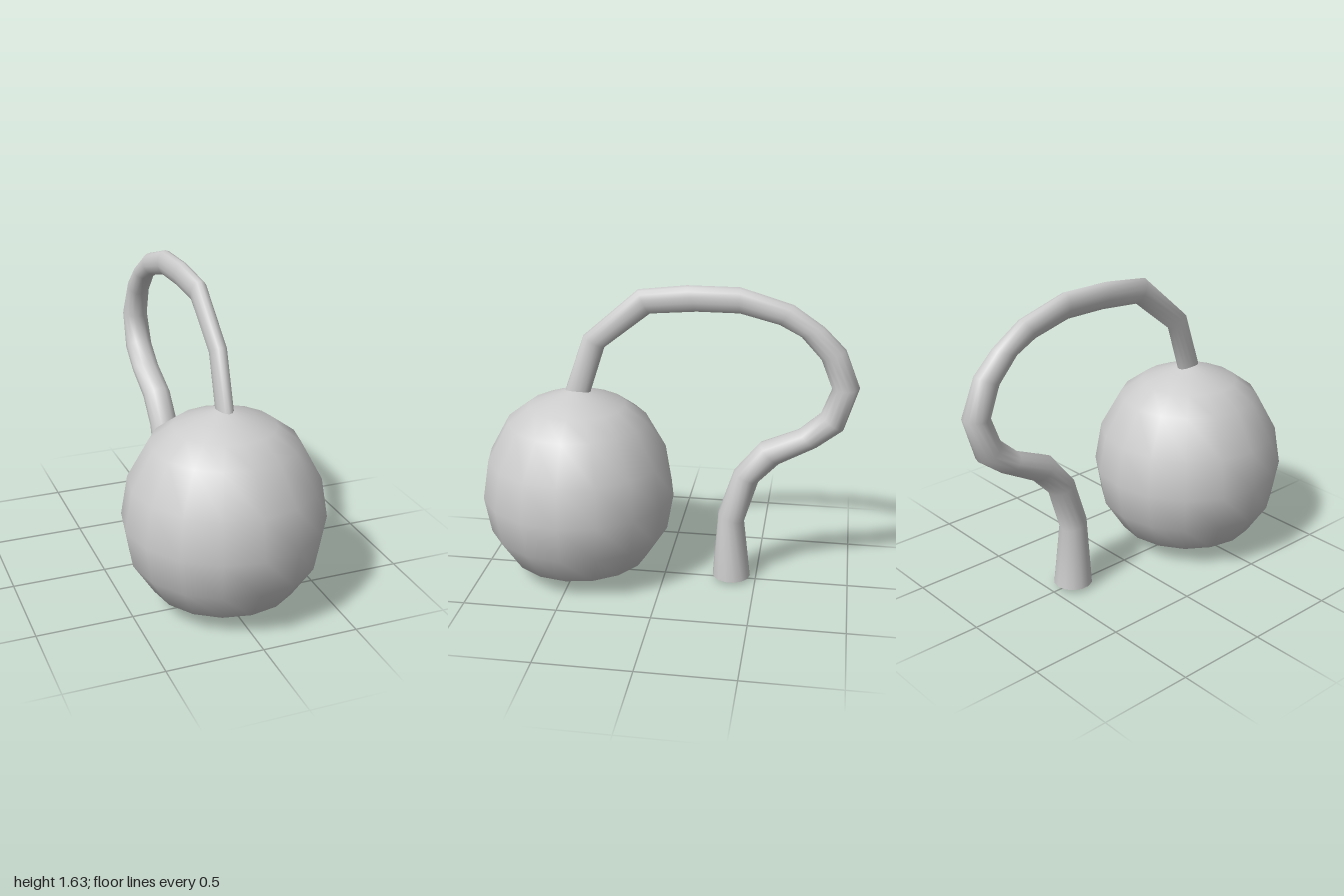
import * as THREE from 'three';

const material = new THREE.MeshStandardMaterial({ color: 0xcccccc, side: THREE.DoubleSide });

// Elliptical rings joined into an open, smooth tube in the x = 0 plane.
// Each row: outer z, outer y, inner z, inner y, half-width in x.
function bentTube(rows, sides) {
  const positions = [], index = [];
  rows.forEach(([oz, oy, iz, iy, w], r) => {
    for (let s = 0; s < sides; s++) {
      const a = (s / sides) * Math.PI * 2;
      const t = (1 + Math.cos(a)) / 2;
      positions.push(w * Math.sin(a), iy + (oy - iy) * t, iz + (oz - iz) * t);
      if (r === 0) continue;
      const n = (s + 1) % sides;
      const p = (r - 1) * sides, q = r * sides;
      index.push(p + s, p + n, q + s, p + n, q + n, q + s);
    }
  });
  const geometry = new THREE.BufferGeometry();
  geometry.setAttribute('position', new THREE.Float32BufferAttribute(positions, 3));
  geometry.setIndex(index);
  geometry.computeVertexNormals();
  return geometry;
}

export function createModel() {
  const group = new THREE.Group();

  // Round ball, drawn up to a small peak under the stem
  const profile = [
    [0, 0.005], [0.2, 0.025], [0.375, 0.11], [0.485, 0.28], [0.52, 0.48],
    [0.485, 0.69], [0.375, 0.89], [0.26, 0.975], [0.147, 1.02], [0.05, 1.055], [0, 1.062],
  ].map(([x, y]) => new THREE.Vector2(x, y));
  const ball = new THREE.Mesh(new THREE.LatheGeometry(profile, 16), material);
  ball.name = 'ball';
  ball.position.z = 0.475;
  group.add(ball);

  // Hooked stem: slim where it meets the ball, flaring to an open foot
  const stem = new THREE.Mesh(bentTube([
    [0.535, 1.05, 0.405, 1.03, 0.042],
    [0.43, 1.355, 0.32, 1.295, 0.042],
    [0.14, 1.61, 0.08, 1.485, 0.042],
    [-0.11, 1.64, -0.16, 1.505, 0.043],
    [-0.38, 1.64, -0.38, 1.505, 0.045],
    [-0.65, 1.56, -0.58, 1.455, 0.05],
    [-0.81, 1.45, -0.69, 1.4, 0.056],
    [-0.92, 1.34, -0.8, 1.28, 0.062],
    [-1.0, 1.14, -0.86, 1.13, 0.07],
    [-0.93, 0.91, -0.81, 0.995, 0.075],
    [-0.8, 0.81, -0.7, 0.895, 0.076],
    [-0.61, 0.705, -0.5, 0.81, 0.077],
    [-0.5, 0.59, -0.37, 0.65, 0.077],
    [-0.43, 0.355, -0.29, 0.4, 0.077],
    [-0.47, 0.025, -0.265, 0.025, 0.103],
  ], 14), material);
  stem.name = 'stem';
  group.add(stem);

  return group;
}
